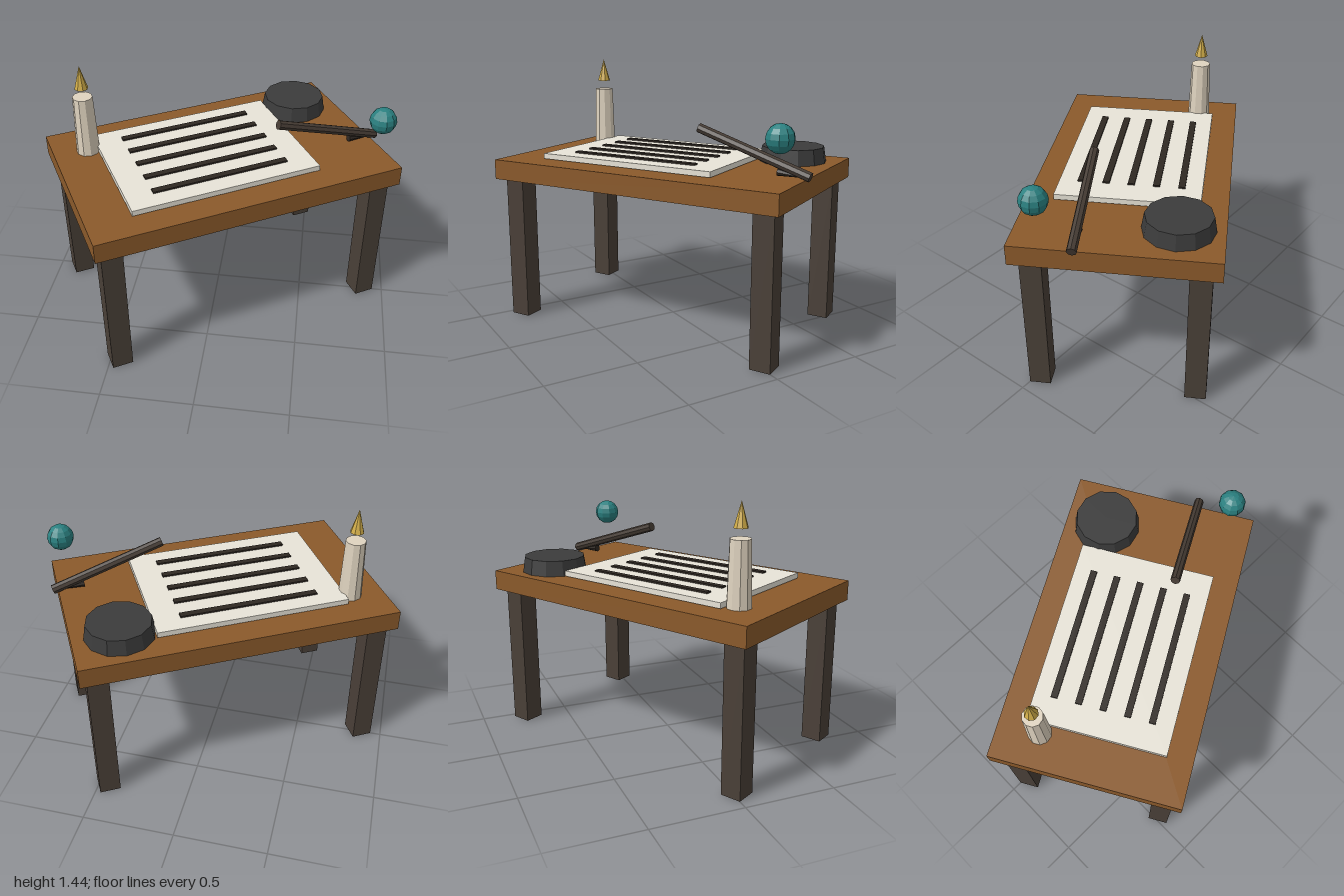
import * as THREE from 'three';

const mat = (color) => new THREE.MeshStandardMaterial({ color, flatShading: true });

export function createModel() {
  const model = new THREE.Group();
  model.name = 'writingTable';
  // the whole table stands turned about the vertical axis
  model.rotation.y = Math.PI / 6;

  const wood = mat(0x8b5a2b), legWood = mat(0x4a4038), paper = mat(0xe8e4d8), ink = mat(0x2f2822);
  const wax = mat(0xe0d4c0), gold = mat(0xd0ac48), iron = mat(0x3c3c3c), teal = mat(0x2a8080), shaft = mat(0x463c34);

  const add = (name, geometry, material, x, y, z) => {
    const mesh = new THREE.Mesh(geometry, material);
    mesh.name = name;
    mesh.position.set(x, y, z);
    model.add(mesh);
    return mesh;
  };

  // table top and four legs
  add('tableTop', new THREE.BoxGeometry(1.708, 0.11, 1.04), wood, 0, 0.865, 0);
  const legGeometry = new THREE.BoxGeometry(0.113, 0.81, 0.113);
  for (const sx of [-1, 1]) {
    for (const sz of [-1, 1]) add('leg', legGeometry, legWood, sx * 0.759, 0.405, sz * 0.415);
  }

  // sheet with five written lines
  add('sheet', new THREE.BoxGeometry(1.045, 0.03, 0.757), paper, -0.094, 0.94, 0);
  const lineGeometry = new THREE.BoxGeometry(0.757, 0.01, 0.036);
  for (let i = -2; i <= 2; i++) add('writtenLine', lineGeometry, ink, -0.094, 0.959, i * 0.133 - 0.004);

  // candle and its floating flame
  add('candle', new THREE.CylinderGeometry(0.054, 0.064, 0.34, 10), wax, -0.664, 1.09, -0.291);
  add('flame', new THREE.ConeGeometry(0.037, 0.13, 8), gold, -0.664, 1.375, -0.291);

  // ink pot
  add('inkPot', new THREE.CylinderGeometry(0.172, 0.186, 0.085, 12), iron, 0.604, 0.9625, -0.286);

  // slanted pen shaft and nib
  const start = new THREE.Vector2(0.265, 1.139), end = new THREE.Vector2(0.882, 0.938);
  const along = end.clone().sub(start);
  const pen = add('penShaft', new THREE.CylinderGeometry(0.026, 0.026, along.length(), 8), shaft,
    (start.x + end.x) / 2, (start.y + end.y) / 2, 0.189);
  pen.rotation.z = along.angle() - Math.PI / 2;
  const nib = add('penNib', new THREE.ConeGeometry(0.021, 0.15, 8), ink, 0.785, 0.942, 0.189);
  nib.rotation.z = -Math.PI / 2 - 0.12;

  // hovering ball
  add('ball', new THREE.SphereGeometry(0.073, 10, 8), teal, 0.793, 1.15, 0.377);

  const group = new THREE.Group();
  group.add(model);
  return group;
}
